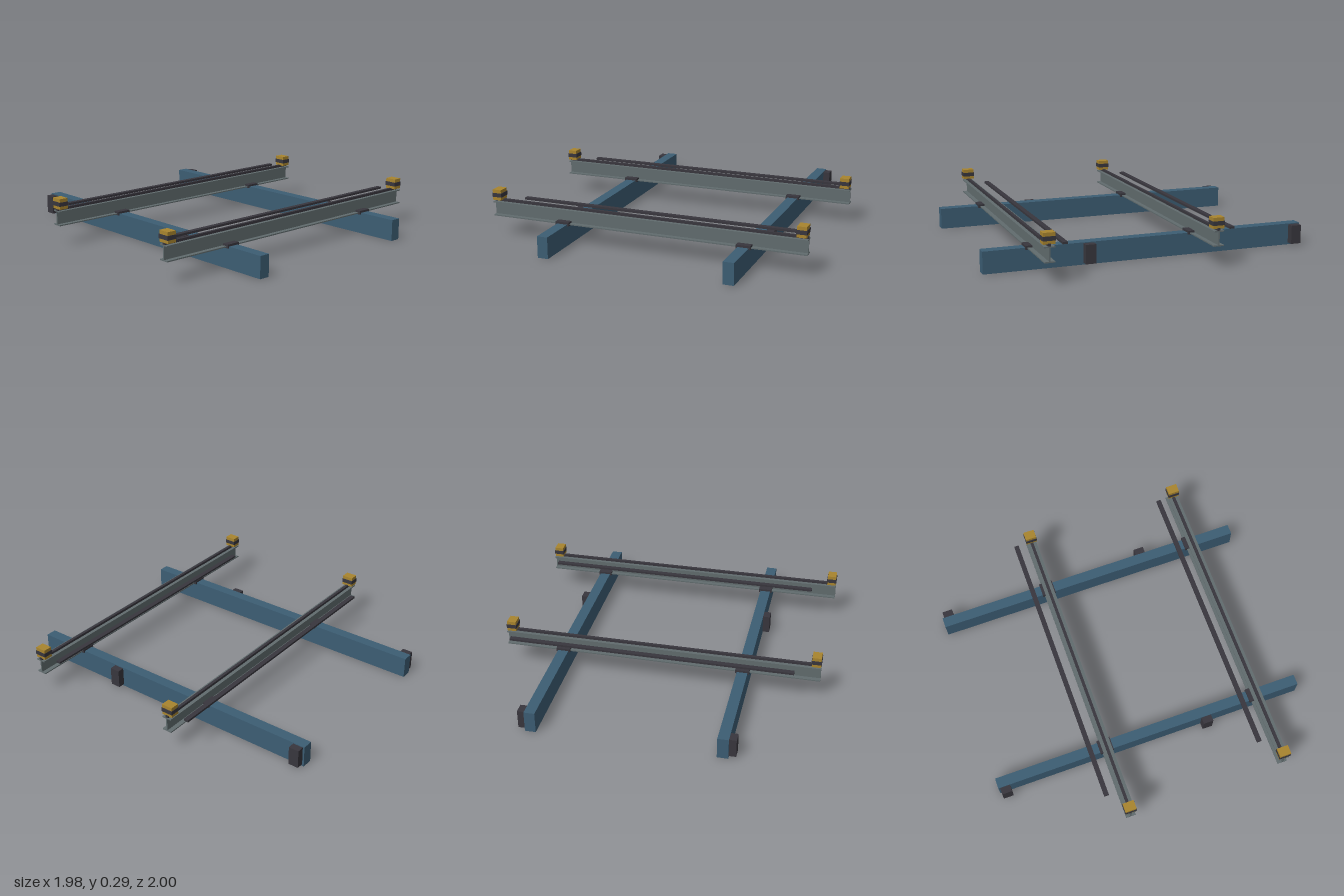
import * as THREE from 'three';

const paint = (name, color) => {
  const m = new THREE.MeshStandardMaterial({ color });
  m.name = name;
  return m;
};

export function createModel() {
  const blue = paint('girder blue', 0x3c5d73);
  const grey = paint('steel grey', 0x616c6e);
  const dark = paint('dark iron', 0x38363d);
  const yellow = paint('buffer yellow', 0xa8842e);

  const model = new THREE.Group();
  model.name = 'craneRunway';

  // Box given by its min and max on each axis
  const box = (parent, name, mat, [x0, x1], [y0, y1], [z0, z1]) => {
    const mesh = new THREE.Mesh(new THREE.BoxGeometry(x1 - x0, y1 - y0, z1 - z0), mat);
    mesh.position.set((x0 + x1) / 2, (y0 + y1) / 2, (z0 + z1) / 2);
    mesh.name = name;
    parent.add(mesh);
  };
  const around = (c, half) => [c - half, c + half];

  // Long girders on the ground, with brackets on their outer sides
  const girders = [{ x: -0.515, side: -1 }, { x: 0.62, side: 1 }];
  for (const { x, side } of girders) {
    box(model, 'girder', blue, around(x, 0.033), [0, 0.132], [-1, 1]);
    for (const z of [-0.957, 0.375]) {
      box(model, 'sideBracket', dark, around(x + side * 0.054, 0.022), [0.012, 0.127], around(z, 0.032));
    }
  }

  // I-shaped cross-section of a cross beam, drawn in (z, y)
  const half = 0.031, web = 0.004, bottom = 0.127, top = 0.218, t = 0.007;
  const right = [[half, bottom], [half, bottom + t], [web, bottom + t], [web, top - t], [half, top - t], [half, top]];
  const left = right.map(([a, b]) => [-a, b]).reverse();
  const profile = new THREE.Shape([...right, ...left].map(([a, b]) => new THREE.Vector2(a, b)));
  const beamGeometry = new THREE.ExtrudeGeometry(profile, { depth: 1.974, bevelEnabled: false });
  beamGeometry.translate(0, 0, -0.987).rotateY(Math.PI / 2);

  for (const z of [0.71, -0.29]) {
    const track = new THREE.Group();
    track.name = 'crossTrack';
    track.position.z = z;
    model.add(track);

    const beam = new THREE.Mesh(beamGeometry, grey);
    beam.name = 'crossBeam';
    track.add(beam);

    // Running rail on top and the conductor bar behind it
    box(track, 'rail', dark, [-0.985, 0.985], [top, 0.233], around(0, 0.009));
    box(track, 'conductorBar', dark, [-0.835, 0.94], [0.211, 0.224], around(-0.103, 0.015));

    // Clamp plates where the beam crosses the girders
    for (const { x } of girders) {
      box(track, 'clampPlate', dark, around(x, 0.043), [0.122, 0.145], around(0, 0.043));
    }

    // End buffers with a dark band
    for (const x of [-0.958, 0.953]) {
      box(track, 'endBuffer', yellow, around(x, 0.028), [0.229, 0.294], around(0, 0.035));
      box(track, 'bufferBand', dark, around(x, 0.031), [0.248, 0.273], around(0, 0.037));
    }
  }
  return model;
}
